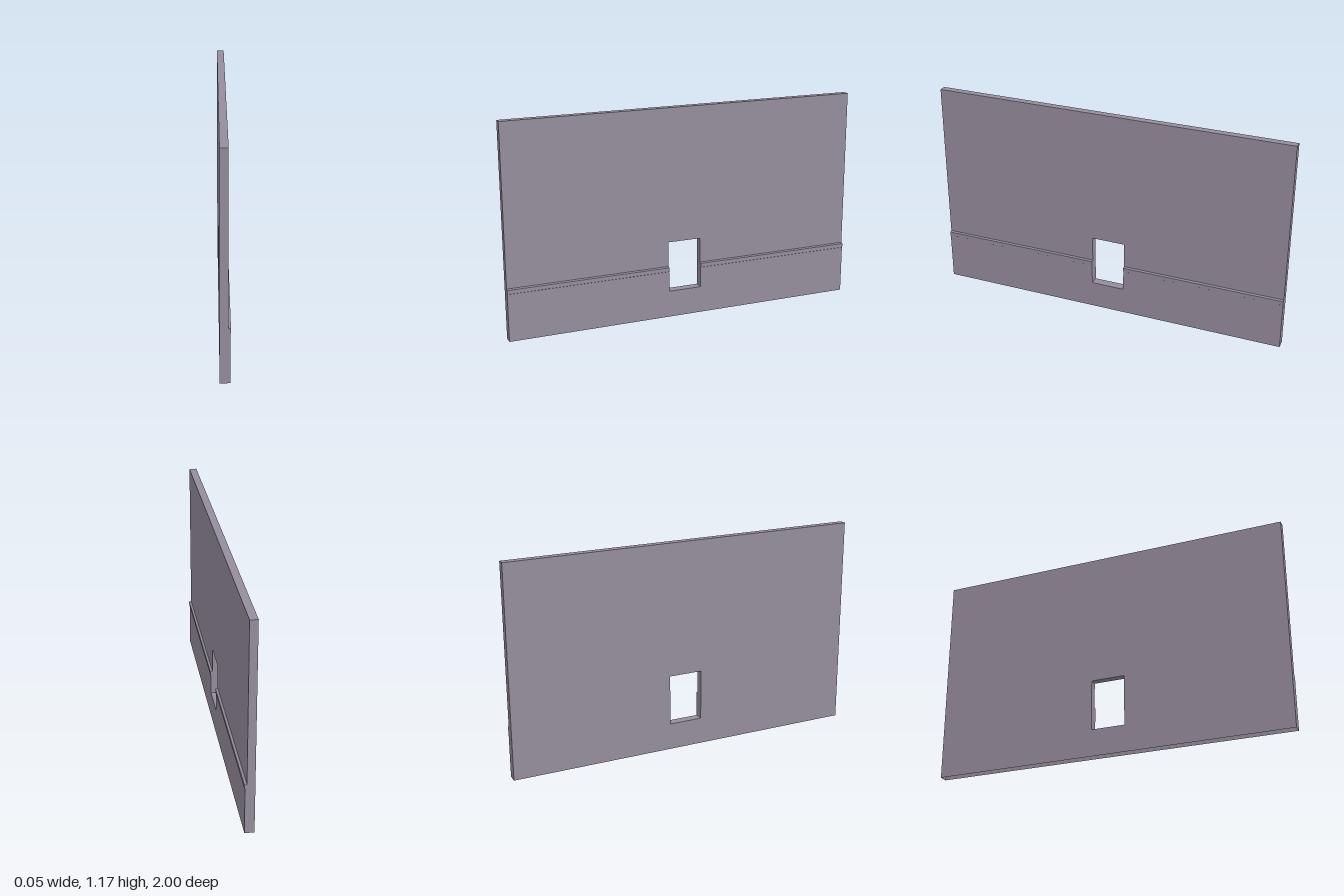
import * as THREE from 'three';

const material = new THREE.MeshStandardMaterial({ color: 0x958d9c, side: THREE.DoubleSide, flatShading: true });

// Main sizes
const back = -0.027, face = 0.014, panel = 0.0235, nose = 0.0265;
const height = 1.175, halfLength = 1;
const sill = 0.15, head = 0.431, halfOpening = 0.094;

function makeMesh(name, triangles) {
  const geometry = new THREE.BufferGeometry();
  geometry.setAttribute('position', new THREE.Float32BufferAttribute(triangles.flat(), 3));
  geometry.computeVertexNormals();
  const mesh = new THREE.Mesh(geometry, material);
  mesh.name = name;
  return mesh;
}

// Sweeps an [x, y] polyline along z; the outside is on the right of the line
function sweep(name, points, z0, z1) {
  const triangles = [];
  for (let i = 0; i < points.length - 1; i++) {
    const p = points[i], q = points[i + 1];
    const a = [...p, z0], b = [...q, z0], c = [...q, z1], d = [...p, z1];
    triangles.push(a, b, c, a, c, d);
  }
  return makeMesh(name, triangles);
}

// Fills a counterclockwise [x, y] outline at one z, facing +z or -z
function cap(name, points, z, facing) {
  const outline = points.map(([x, y]) => new THREE.Vector2(x, y));
  const triangles = [];
  for (const tri of THREE.ShapeUtils.triangulateShape(outline, [])) {
    const order = facing > 0 ? tri : [...tri].reverse();
    for (const i of order) triangles.push([...points[i], z]);
  }
  return makeMesh(name, triangles);
}

export function createModel() {
  const model = new THREE.Group();
  model.name = 'wallSection';

  // Moulded rail that caps the raised lower panel
  const rail = [[panel, 0.264], [nose, 0.266], [nose, 0.288], [face, 0.292]];
  // Wall cross-section, hollow and open underneath
  const profile = [[panel, 0], ...rail, [face, height], [back, height], [back, 0]];
  // The part of that cross-section cut through by the opening
  const cut = [[panel, sill], ...rail, [face, head], [back, head], [back, sill]];

  for (const side of [1, -1]) {
    const z0 = side > 0 ? halfOpening : -halfLength;
    const z1 = side > 0 ? halfLength : -halfOpening;
    const label = side > 0 ? 'front' : 'rear';
    // Lower panel, rail and wall skin on each side of the opening
    model.add(sweep(label + 'LowerPanel', [profile[0], rail[0]], z0, z1));
    model.add(sweep(label + 'Rail', rail, z0, z1));
    model.add(sweep(label + 'Wall', profile.slice(4), z0, z1));
    // Outer end and jamb of the opening
    model.add(cap(label + 'End', profile, side * halfLength, side));
    model.add(cap(label + 'Jamb', cut, side * halfOpening, -side));
  }

  // Wall below the opening, with its sill
  model.add(sweep('sillWall', [[panel, 0], [panel, sill], [back, sill], [back, 0]], -halfOpening, halfOpening));
  // Wall above the opening, with its underside
  model.add(sweep('headWall',
    [[back, head], [face, head], [face, height], [back, height], [back, head]], -halfOpening, halfOpening));

  return model;
}
